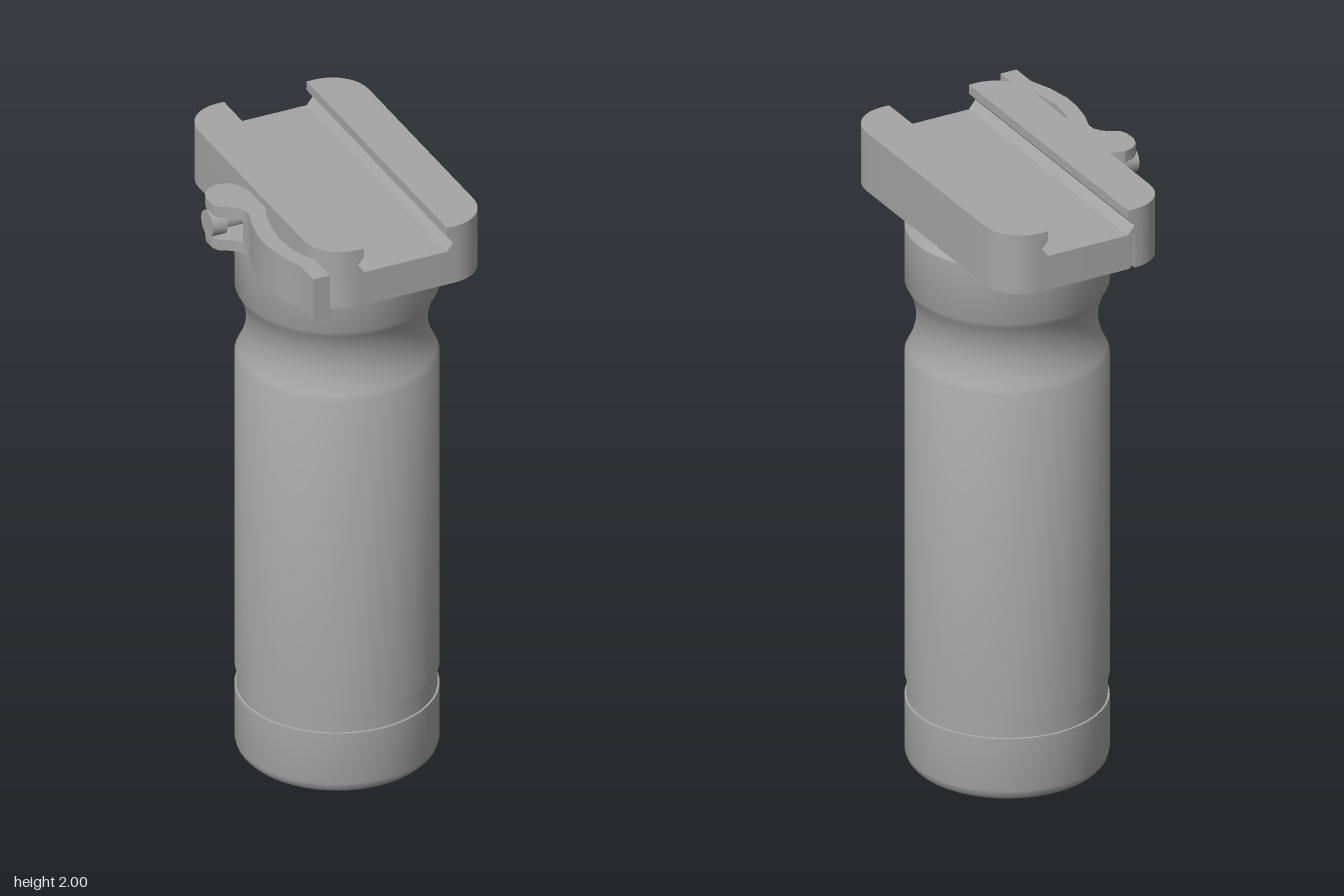
import * as THREE from 'three';
import { toCreasedNormals } from 'three/addons/utils/BufferGeometryUtils.js';

// Extrude a plan outline of [x, z] points upward through levels of [y, innerX].
// Outline points at x = 0 slide to innerX at each level.
function planLoft(points, levels) {
  const shape = new THREE.Shape(points.map(([x, z]) => new THREE.Vector2(x, -z)));
  const n = levels.length - 1;
  const geo = new THREE.ExtrudeGeometry(shape, { depth: n, steps: n, bevelEnabled: false });
  geo.rotateX(-Math.PI / 2);
  const p = geo.attributes.position;
  for (let i = 0; i < p.count; i++) {
    const [y, innerX] = levels[Math.round(p.getY(i))];
    if (Math.abs(p.getX(i)) < 1e-6) p.setX(i, innerX);
    p.setY(i, y);
  }
  geo.computeVertexNormals();
  return toCreasedNormals(geo, 0.5);
}

// Half of the clamp plan, with two rounded corners on the outer side
function halfPlan(outerX, r) {
  const back = -0.51, front = 0.447, side = Math.sign(outerX), pts = [[0, back]];
  for (const [z, dir] of [[back + r, -1], [front - r, 1]]) {
    for (let i = 0; i <= 8; i++) {
      const t = (i / 8) * Math.PI / 2;
      const a = dir < 0 ? Math.PI / 2 - t : t;
      pts.push([outerX - side * r * (1 - Math.cos(a)), z + dir * r * Math.sin(a)]);
    }
  }
  pts.push([0, front]);
  return pts;
}

export function createModel() {
  const group = new THREE.Group();
  const grey = new THREE.MeshStandardMaterial({ color: 0xa6a6a6 });
  grey.name = 'grey';
  const add = (name, geo) => {
    const mesh = new THREE.Mesh(geo, grey);
    mesh.name = name;
    group.add(mesh);
    return mesh;
  };

  // Grip: rounded foot, shallow band, hollowed neck and chamfered top
  const R = 0.306;
  const profile = [[0, 0], [0.265, 0], [0.288, 0.008], [0.301, 0.022], [R, 0.04],
    [R, 0.215], [0.3, 0.216], [0.3, 0.289], [R, 0.29]];
  for (let i = 0; i <= 12; i++) {
    const t = i / 6 - 1;
    profile.push([R - 0.035 * (1 - t * t), 1.48 + 0.12 * t]);
  }
  profile.push([R, 1.785], [0.29, 1.807], [0, 1.807]);
  const gripGeo = new THREE.LatheGeometry(profile.map(([x, y]) => new THREE.Vector2(x, y)), 48);
  add('grip', toCreasedNormals(gripGeo, 0.6)).position.set(0.055, 0, -0.029);

  // Clamp base with its fixed jaw
  add('clampBody', planLoft(halfPlan(0.335, 0.12), [
    [1.805, -0.09], [1.82, -0.104], [1.918, -0.104], [1.918, 0.188],
    [1.945, 0.209], [1.97, 0.188], [2, 0.188]]));

  // Separate moving jaw
  add('movingJaw', planLoft(halfPlan(-0.228, 0.118), [
    [1.805, -0.108], [1.918, -0.108], [1.918, -0.085],
    [1.945, -0.108], [1.97, -0.086], [2, -0.086]]));

  // Lever: curved arm, and a round forked head above and below the nut
  const arm = [[-0.228, 0.065], [-0.245, 0.11], [-0.262, 0.18], [-0.27, 0.25], [-0.262, 0.32],
    [-0.245, 0.37], [-0.228, 0.4], [-0.228, 0.507], [-0.283, 0.507], [-0.283, 0.42],
    [-0.308, 0.35], [-0.322, 0.27], [-0.32, 0.21], [-0.308, 0.14], [-0.288, 0.08], [-0.29, 0.055]];
  const head = [[-0.302, 0.033], [-0.325, 0.015], [-0.35, 0.003], [-0.36, -0.02], [-0.362, -0.06],
    [-0.352, -0.09], [-0.33, -0.112], [-0.297, -0.122], [-0.262, -0.112], [-0.24, -0.085], [-0.228, -0.05]];
  const lever = [...arm, ...head];
  const flat = (pts, y0, y1) => planLoft(pts, [[y0, 0], [y1, 0]]);
  add('leverLower', flat(lever, 1.825, 1.862));
  add('leverMiddle', flat([...arm, [-0.29, 0.04], [-0.228, 0.04]], 1.862, 1.938));
  add('leverUpper', flat(lever, 1.938, 1.975));

  // Cross bolt and its nut between the fork plates
  const rod = (name, r, x0, x1) => {
    const geo = new THREE.CylinderGeometry(r, r, x1 - x0, 16);
    geo.rotateZ(Math.PI / 2);
    add(name, toCreasedNormals(geo, 0.6)).position.set((x0 + x1) / 2, 1.9, -0.042);
  };
  rod('nut', 0.042, -0.368, -0.32);
  rod('crossBolt', 0.026, -0.33, -0.2);

  return group;
}
